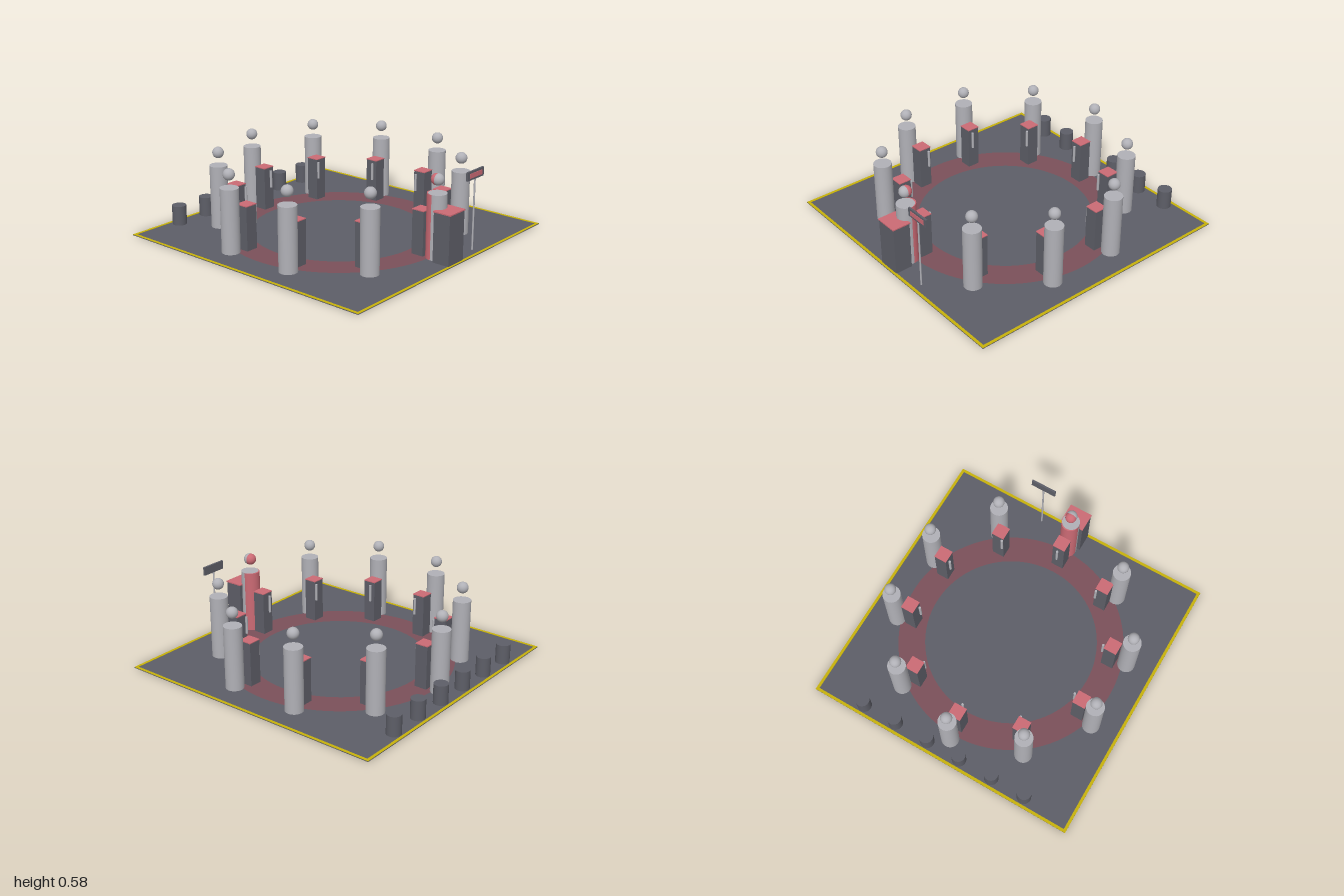
import * as THREE from 'three';

const paint = (name, color) => {
  const m = new THREE.MeshStandardMaterial({ color });
  m.name = name;
  return m;
};

export function createModel() {
  const model = new THREE.Group();
  const charcoal = paint('charcoal', 0x5d5e67);
  const red = paint('soft red', 0xcb6a74);
  const wine = paint('carpet wine', 0x7b5059);
  const grey = paint('figure grey', 0xb0b0b6);
  const yellow = paint('edge yellow', 0xc6b10c);

  const add = (parent, name, geometry, material, x, y, z) => {
    const mesh = new THREE.Mesh(geometry, material);
    mesh.name = name;
    mesh.position.set(x, y, z);
    parent.add(mesh);
    return mesh;
  };
  const box = (w, h, d) => new THREE.BoxGeometry(w, h, d);
  const group = (name, x, z) => {
    const g = new THREE.Group();
    g.name = name;
    g.position.set(x, 0, z);
    model.add(g);
    return g;
  };

  // Thin floor slab with a yellow border on its upper face
  add(model, 'floor', box(2, 0.005, 2), charcoal, 0, 0.0025, 0);
  for (const s of [-1, 1]) {
    add(model, 'borderAcross', box(2, 0.002, 0.02), yellow, 0, 0.006, s * 0.99);
    add(model, 'borderAlong', box(0.02, 0.002, 1.96), yellow, s * 0.99, 0.006, 0);
  }

  // Ring-shaped carpet
  const carpet = add(model, 'carpetRing', new THREE.RingGeometry(0.61, 0.8, 80), wine, 0, 0.0075, 0);
  carpet.rotation.x = -Math.PI / 2;

  // Standing figure: cylinder body and ball head
  const bodyGeo = new THREE.CylinderGeometry(0.0625, 0.0625, 0.445, 32);
  const headGeo = new THREE.SphereGeometry(0.04, 24, 16);
  const addFigure = (name, x, z, material, drop = 0) => {
    const g = group(name, x, z);
    add(g, 'body', bodyGeo, material, 0, 0.2275 - drop, 0);
    add(g, 'head', headGeo, material, 0, 0.54, 0);
  };

  // Ten lecterns in a circle, each with a figure behind and a handset on the inner side
  const lecternGeo = box(0.09, 0.31, 0.09);
  const lecternTopGeo = box(0.094, 0.006, 0.094);
  const handsetGeo = new THREE.CylinderGeometry(0.009, 0.009, 0.125, 8);
  for (let i = 0; i < 10; i++) {
    const a = (i / 10) * Math.PI * 2;
    const sx = Math.sin(a), cz = Math.cos(a);
    addFigure('figure', sx * 0.83, cz * 0.83, grey);
    const g = group('lectern', sx * 0.71, cz * 0.71);
    add(g, 'lecternBody', lecternGeo, charcoal, 0, 0.16, 0);
    add(g, 'lecternTop', lecternTopGeo, red, 0, 0.317, 0);
    add(g, 'handset', handsetGeo, grey, -sx * 0.065, 0.235, -cz * 0.065);
  }

  // Host figure, overlapping the front one, and the host desk
  addFigure('hostFigure', 0, 0.82, red, 0.001);
  add(model, 'hostDesk', box(0.16, 0.342, 0.125), charcoal, 0, 0.176, 0.922);
  add(model, 'hostDeskTop', box(0.168, 0.008, 0.136), red, 0, 0.351, 0.922);

  // Sign on a slim post
  const sign = group('sign', 0.275, 0.925);
  add(sign, 'signPost', new THREE.CylinderGeometry(0.006, 0.006, 0.5, 12), grey, 0, 0.255, 0);
  add(sign, 'signBoard', box(0.184, 0.06, 0.014), charcoal, 0, 0.53, 0);
  add(sign, 'signPanel', box(0.14, 0.032, 0.004), red, 0, 0.53, 0.008);

  // Row of stools along the back
  const stoolGeo = new THREE.CylinderGeometry(0.05, 0.05, 0.138, 24);
  for (let i = 0; i < 6; i++) {
    add(model, 'stool', stoolGeo, charcoal, (i - 2.5) * 0.256, 0.074, -0.925);
  }
  return model;
}
